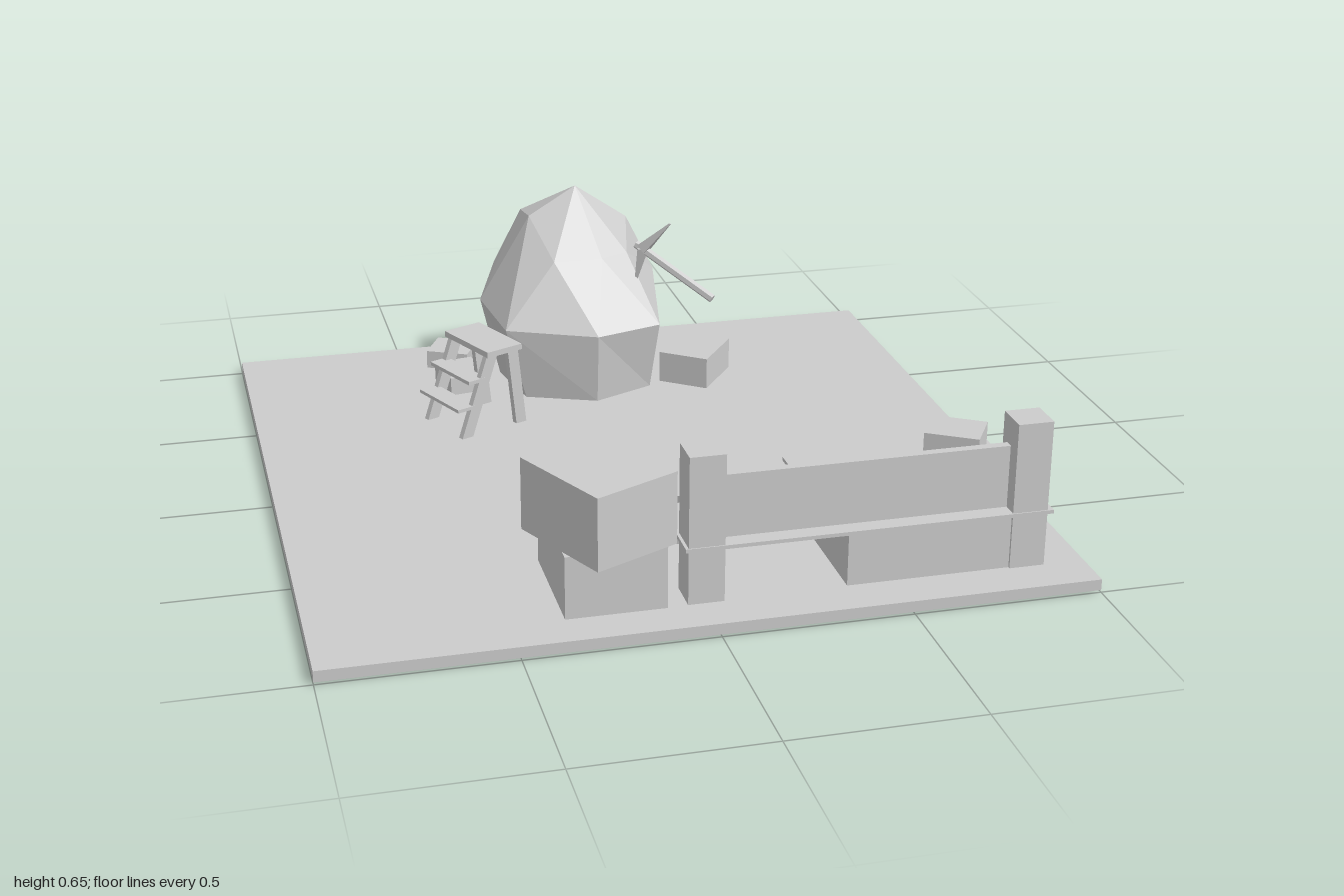
import * as THREE from 'three';

const mat = new THREE.MeshStandardMaterial({ color: 0xcccccc, flatShading: true, side: THREE.DoubleSide });

function add(parent, name, geometry) {
  const m = new THREE.Mesh(geometry, mat);
  m.name = name;
  parent.add(m);
  return m;
}

// Box given by centre x/z, bottom and top heights, width, depth and turn about y
function block(parent, name, x, z, y0, y1, w, d, turn = 0) {
  const m = add(parent, name, new THREE.BoxGeometry(w, y1 - y0, d));
  m.position.set(x, (y0 + y1) / 2, z);
  m.rotation.y = turn;
  return m;
}

// Tapered rod between two points
function rod(parent, name, a, b, r0, r1, sides) {
  const from = new THREE.Vector3(...a), to = new THREE.Vector3(...b);
  const dir = to.clone().sub(from);
  const m = add(parent, name, new THREE.CylinderGeometry(r1, r0, dir.length(), sides));
  m.position.copy(from).addScaledVector(dir, 0.5);
  m.quaternion.setFromUnitVectors(new THREE.Vector3(0, 1, 0), dir.normalize());
  return m;
}

// Faceted boulder skinned over rings of eight points, closed by two poles
function boulder() {
  const rings = [
    [[0, .005, -.67]],
    [[0, .06, -.93], [.17, .06, -.87], [.22, .06, -.68], [.18, .06, -.45],
      [0, .06, -.37], [-.2, .06, -.45], [-.24, .06, -.66], [-.17, .06, -.87]],
    [[-.03, .27, -1], [.2, .3, -.94], [.255, .34, -.72], [.2, .27, -.41],
      [0, .27, -.35], [-.26, .28, -.44], [-.295, .3, -.67], [-.2, .32, -.95]],
    [[0, .505, -.86], [.09, .55, -.79], [.165, .52, -.7], [.13, .46, -.54],
      [.045, .46, -.5], [-.1, .46, -.5], [-.145, .56, -.65], [-.14, .53, -.81]],
    [[0, .64, -.665]],
  ];
  const pos = [];
  for (let r = 0; r < 4; r++) {
    for (let i = 0; i < 8; i++) {
      const pick = (k, j) => rings[k][j % rings[k].length];
      const a = pick(r, i), b = pick(r, i + 1), c = pick(r + 1, i + 1), d = pick(r + 1, i);
      if (r > 0) pos.push(...a, ...c, ...b);
      if (r < 3) pos.push(...a, ...d, ...c);
    }
  }
  const g = new THREE.BufferGeometry();
  g.setAttribute('position', new THREE.Float32BufferAttribute(pos, 3));
  g.computeVertexNormals();
  return g;
}

// Step stool, steps facing its own +z
function stool() {
  const g = new THREE.Group();
  g.name = 'stepStool';
  block(g, 'stoolTop', 0, 0, .265, .282, .22, .12);
  block(g, 'upperStep', 0, .09, .192, .203, .2, .06);
  block(g, 'lowerStep', 0, .13, .115, .125, .2, .06);
  for (const s of [-1, 1]) {
    const leg = (name, zTop, zFoot) => {
      const len = Math.hypot(.27, zFoot - zTop);
      const m = add(g, name, new THREE.BoxGeometry(.018, len, .035));
      m.position.set(s * .09, .135, (zTop + zFoot) / 2);
      m.rotation.x = -Math.atan2(zFoot - zTop, .27);
    };
    leg('frontLeg', .035, .14);
    leg('backLeg', -.035, -.065);
  }
  g.position.set(-.335, 0, -.4);
  g.rotation.y = -1.147;
  return g;
}

export function createModel() {
  const model = new THREE.Group();
  model.name = 'diggingCamp';

  // Ground slab, open underneath
  const slab = new THREE.BoxGeometry(2, .03, 2);
  slab.setIndex([...slab.index.array].filter((_, i) => i < 18 || i > 23));
  slab.clearGroups();
  add(model, 'ground', slab).position.y = .015;

  // Boulder with a pickaxe stuck in it
  add(model, 'boulder', boulder());
  const pick = new THREE.Group();
  pick.name = 'pickaxe';
  model.add(pick);
  const hub = [.167, .487, -.487];
  rod(pick, 'handle', [.34, .367, -.335], [.15, .497, -.502], .013, .013, 6);
  rod(pick, 'upperPick', hub, [.235, .577, -.43], .022, .003, 4);
  rod(pick, 'lowerPick', hub, [.146, .372, -.5], .022, .003, 4);

  model.add(stool());

  // Loose crates around the boulder
  block(model, 'smallCrate', -.356, -.85, .003, .085, .13, .12, -.46);
  block(model, 'smallCrate', -.36, -.665, .003, .085, .118, .145, .18);
  block(model, 'sideCrate', .355, -.58, .003, .125, .155, .19, -.64);

  // Counter: L-shaped top, base, two posts and a front board
  const outline = [[-.065, .89], [.905, .89], [.905, .415], [.33, .415], [.33, .625], [-.065, .625]];
  const top = new THREE.ExtrudeGeometry(
    new THREE.Shape(outline.map(([x, z]) => new THREE.Vector2(x, -z))),
    { depth: .01, bevelEnabled: false });
  top.rotateX(-Math.PI / 2);
  add(model, 'counterTop', top).position.y = .175;
  block(model, 'counterBase', .61, .665, .025, .17, .5, .43);
  for (const x of [-.01, .842]) block(model, 'post', x, .84, .003, .43, .094, .094);
  block(model, 'frontBoard', .416, .832, .185, .355, .77, .024);

  // Boxes on the counter
  block(model, 'counterBox', .77, .54, .185, .28, .148, .125, -.55);
  block(model, 'counterBox', .645, .72, .185, .258, .125, .1, .39);
  block(model, 'counterBox', .32, .725, .185, .235, .076, .076, .785);

  // Stacked crates beside the counter
  block(model, 'lowerCrate', -.24, .725, .003, .2, .26, .33);
  block(model, 'upperCrate', -.263, .795, .2, .395, .248, .307, .445);

  // Crate leaning on the stack
  const lean = block(model, 'leaningCrate', -.176, .42, .093, .207, .16, .19);
  lean.rotation.set(-.72, .35, 0, 'YXZ');

  // Crates behind the counter
  block(model, 'stackBottom', .03, .51, .003, .09, .15, .1, -.45);
  block(model, 'stackTop', .053, .525, .09, .175, .118, .13, -.8);
  block(model, 'backCrate', .215, .435, .003, .125, .17, .165, -.82);

  return model;
}
